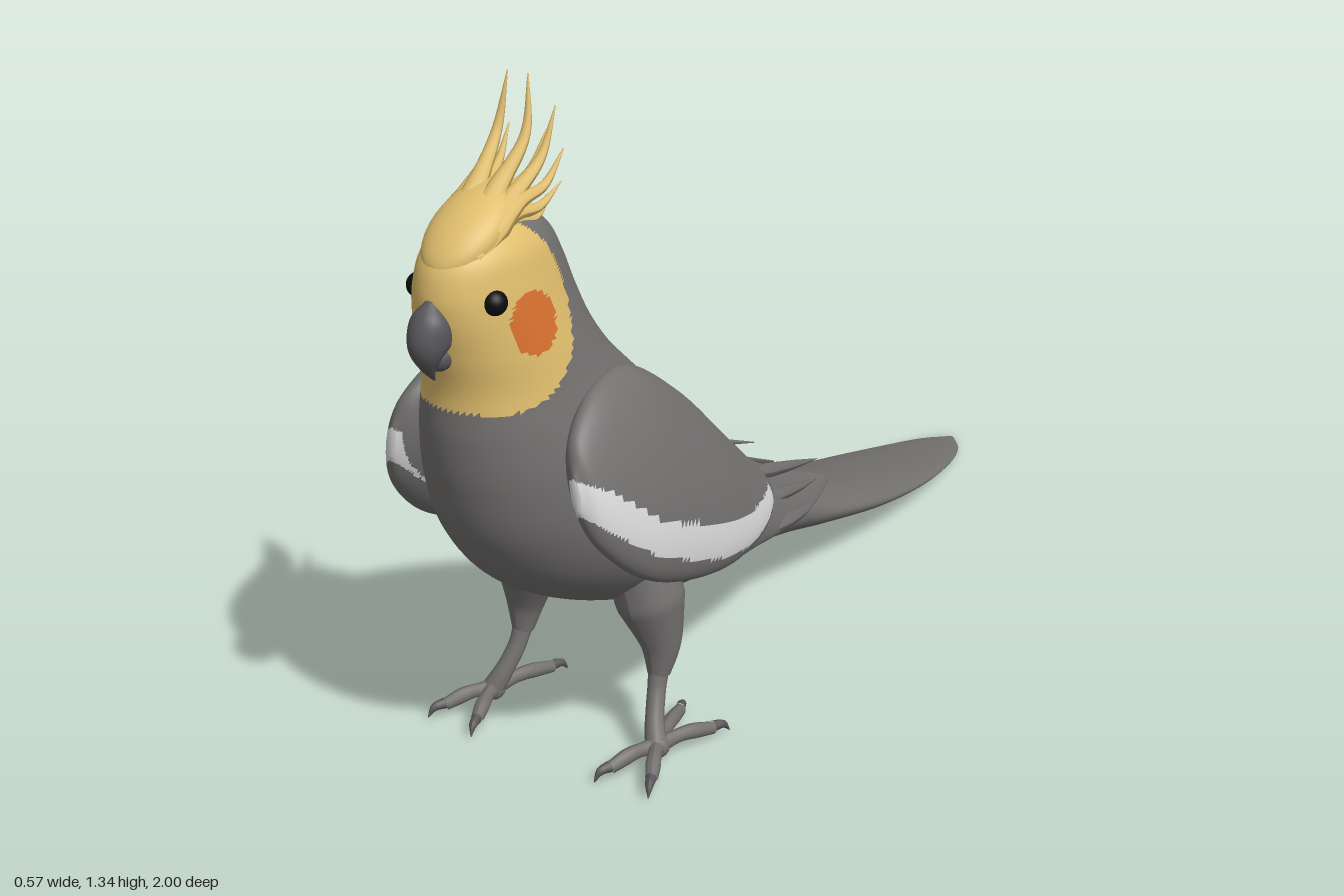
import * as THREE from 'three';

const mat = (name, color, side = THREE.FrontSide) => {
  const m = new THREE.MeshStandardMaterial({ color, side });
  m.name = name;
  return m;
};

const V = (x, y, z) => new THREE.Vector3(x, y, z);

// Smooth closed skin through oval sections. Row: [edge A xyz, edge B xyz, half width].
// sideOf gives the width direction; rule picks a material index per triangle.
function loft(rows, { perRow = 8, radial = 40, sideOf = () => V(1, 0, 0), rule = () => 0 } = {}) {
  const spline = (f) => new THREE.CatmullRomCurve3(rows.map(f), false, 'catmullrom', 0.5);
  const a = spline((r) => V(r[0], r[1], r[2]));
  const b = spline((r) => V(r[3], r[4], r[5]));
  const w = spline((r) => V(r[6], 0, 0));
  const n = (rows.length - 1) * perRow;
  const pts = [];
  for (let i = -1; i <= n + 1; i++) {
    const t = THREE.MathUtils.clamp(i / n, 0, 1);
    const k = i < 0 || i > n ? 0 : 1; // collapsed rings close the ends
    const A = a.getPoint(t), B = b.getPoint(t);
    const half = A.clone().sub(B).multiplyScalar(0.5 * k);
    const side = sideOf(A, B).multiplyScalar(Math.max(w.getPoint(t).x, 0.002) * k);
    const mid = A.add(B).multiplyScalar(0.5);
    for (let j = 0; j < radial; j++) {
      const g = (j / radial) * Math.PI * 2;
      pts.push(mid.clone().addScaledVector(half, Math.cos(g)).addScaledVector(side, Math.sin(g)));
    }
  }
  const tris = [];
  for (let i = 0; i < n + 2; i++) {
    for (let j = 0; j < radial; j++) {
      const p = i * radial + j, q = i * radial + ((j + 1) % radial);
      if (i > 0) tris.push([p, q, p + radial]);
      if (i < n + 1) tris.push([q, q + radial, p + radial]);
    }
  }
  // Turn all faces outward
  let volume = 0;
  for (const [i, j, k] of tris) volume += pts[i].dot(pts[j].clone().cross(pts[k]));
  if (volume < 0) tris.forEach((t) => t.reverse());
  // Sort triangles into one group per colour
  const bins = [];
  for (const t of tris) {
    const c = pts[t[0]].clone().add(pts[t[1]]).add(pts[t[2]]).divideScalar(3);
    (bins[rule(c)] ||= []).push(...t);
  }
  const geo = new THREE.BufferGeometry().setFromPoints(pts);
  geo.setIndex(bins.flat());
  let start = 0;
  bins.forEach((bin, m) => {
    geo.addGroup(start, bin.length, m);
    start += bin.length;
  });
  geo.computeVertexNormals();
  return geo;
}

// Round tube whose radius follows a list of values
function taperTube(points, radii, seg = 20, radial = 10) {
  const curve = new THREE.CatmullRomCurve3(points);
  const geo = new THREE.TubeGeometry(curve, seg, 1, radial);
  const pos = geo.attributes.position, p = V(0, 0, 0);
  for (let i = 0; i <= seg; i++) {
    const c = curve.getPointAt(i / seg);
    const f = (i / seg) * (radii.length - 1), k = Math.min(Math.floor(f), radii.length - 2);
    const r = THREE.MathUtils.lerp(radii[k], radii[k + 1], f - k);
    for (let j = 0; j <= radial; j++) {
      const id = i * (radial + 1) + j;
      p.fromBufferAttribute(pos, id).sub(c).multiplyScalar(r).add(c);
      pos.setXYZ(id, p.x, p.y, p.z);
    }
  }
  geo.computeVertexNormals();
  return geo;
}

// Piecewise linear lookup in [[z, y], ...] with falling z
function lookup(table, z) {
  for (let i = 1; i < table.length; i++) {
    const [z0, y0] = table[i - 1], [z1, y1] = table[i];
    if (z <= z0 && z >= z1) return THREE.MathUtils.mapLinear(z, z0, z1, y0, y1);
  }
  return null;
}

export function createModel() {
  const root = new THREE.Group();
  root.name = 'crestedParrot';
  const grey = mat('grey plumage', 0x737170);
  const yellow = mat('yellow face', 0xdfbd6c);
  const orange = mat('orange cheek', 0xd8712f);
  const white = mat('pale wing patch', 0xdcdcdc);
  const horn = mat('dark beak', 0x58585b);
  const skin = mat('grey feet', 0x73706f);
  const black = mat('black eye', 0x0c0c0c);
  const add = (name, geo, material, parent = root) => {
    const m = new THREE.Mesh(geo, material);
    m.name = name;
    parent.add(m);
    return m;
  };
  // Row in the middle plane: front z, y, back z, y, half width
  const mid = ([zf, yf, zb, yb, w]) => [0, yf, zf, 0, yb, zb, w];

  // Head, body and tail in one skin; face and cheeks are coloured by region
  const bodyRows = [
    [0.81, 1.135, 0.76, 1.13, 0.015], [0.88, 1.11, 0.71, 1.11, 0.06],
    [0.935, 1.07, 0.665, 1.075, 0.09], [0.955, 1.02, 0.635, 1.02, 0.104],
    [0.955, 0.97, 0.612, 0.96, 0.115], [0.94, 0.9, 0.58, 0.89, 0.13],
    [0.925, 0.83, 0.53, 0.82, 0.146], [0.927, 0.74, 0.46, 0.75, 0.17],
    [0.915, 0.64, 0.38, 0.67, 0.195], [0.88, 0.53, 0.3, 0.585, 0.21],
    [0.8, 0.42, 0.23, 0.51, 0.212], [0.68, 0.335, 0.17, 0.44, 0.2],
    [0.52, 0.265, 0.09, 0.385, 0.18], [0.36, 0.235, 0, 0.34, 0.165],
    [0.18, 0.215, -0.07, 0.295, 0.15], [0.02, 0.18, -0.16, 0.25, 0.138],
    [-0.15, 0.135, -0.25, 0.205, 0.136], [-0.38, 0.082, -0.42, 0.148, 0.139],
    [-0.6, 0.045, -0.62, 0.093, 0.126], [-0.8, 0.02, -0.81, 0.046, 0.093],
    [-0.93, 0.007, -0.93, 0.022, 0.055], [-1, 0.003, -1, 0.009, 0.008],
  ].map(mid);
  const faceRule = (c) => {
    if (Math.abs(c.x) > 0.05 && Math.hypot((c.z - 0.82) / 0.049, (c.y - 0.95) / 0.056) < 1) return 2;
    return Math.hypot((c.z - 0.89) / 0.17, (c.y - 0.97) / 0.172) < 1 ? 1 : 0;
  };
  add('body', loft(bodyRows, { perRow: 10, radial: 80, rule: faceRule }), [grey, yellow, orange]);

  // Hooked beak
  const beakRows = [
    [0.958, 1.01, 0.93, 1.0, 0.012], [0.985, 0.985, 0.92, 0.96, 0.035],
    [0.999, 0.95, 0.92, 0.93, 0.036], [0.996, 0.92, 0.945, 0.91, 0.027],
    [0.978, 0.89, 0.955, 0.888, 0.013], [0.955, 0.867, 0.951, 0.867, 0.002],
  ].map(mid);
  add('upperBeak', loft(beakRows, { radial: 24 }), horn);
  const lower = add('lowerBeak', new THREE.SphereGeometry(0.026, 20, 14), horn);
  lower.position.set(0, 0.905, 0.938);

  // Crest: forehead mound and swept feathers
  const mound = add('crestBase', new THREE.SphereGeometry(1, 32, 20), yellow);
  mound.scale.set(0.07, 0.042, 0.11);
  mound.position.set(0, 1.105, 0.845);
  mound.rotation.x = 0.55;
  const crest = [
    // x, y, z of two middle points and the tip
    [0.022, 1.165, 0.79, 0.03, 1.24, 0.722, 0.022, 1.34, 0.697],
    [0.045, 1.15, 0.78, 0.052, 1.2, 0.71, 0.058, 1.283, 0.672],
    [0.055, 1.14, 0.78, 0.062, 1.155, 0.715, 0.07, 1.21, 0.668],
    [0.03, 1.15, 0.78, 0.035, 1.175, 0.72, 0.04, 1.24, 0.675],
    [0.05, 1.12, 0.79, 0.06, 1.12, 0.73, 0.064, 1.15, 0.67],
    [0.048, 1.11, 0.79, 0.052, 1.1, 0.73, 0.05, 1.125, 0.685],
  ];

  // Wing sections: z, upper edge x y, lower edge x y, half thickness
  const covertRows = [
    [0.842, 0.2, 0.69, 0.208, 0.63, 0.008], [0.81, 0.178, 0.755, 0.23, 0.55, 0.034],
    [0.72, 0.155, 0.805, 0.25, 0.46, 0.055], [0.6, 0.138, 0.803, 0.255, 0.4, 0.068],
    [0.45, 0.13, 0.7, 0.252, 0.36, 0.066], [0.31, 0.12, 0.57, 0.235, 0.35, 0.05],
    [0.21, 0.12, 0.475, 0.205, 0.355, 0.032], [0.15, 0.135, 0.42, 0.175, 0.375, 0.008],
  ];
  const flightRows = [
    [0.6, 0.14, 0.7, 0.235, 0.4, 0.03], [0.45, 0.12, 0.66, 0.24, 0.355, 0.05],
    [0.3, 0.11, 0.56, 0.225, 0.328, 0.044], [0.15, 0.095, 0.435, 0.2, 0.293, 0.028],
    [0, 0.08, 0.345, 0.158, 0.253, 0.016], [-0.12, 0.066, 0.285, 0.122, 0.228, 0.01],
    [-0.245, 0.062, 0.226, 0.075, 0.208, 0.003],
  ];
  const patchTop = [[0.85, 0.69], [0.79, 0.655], [0.68, 0.56], [0.52, 0.49], [0.36, 0.44], [0.18, 0.41]];
  const patchLow = [[0.85, 0.63], [0.8, 0.58], [0.7, 0.5], [0.57, 0.435], [0.46, 0.395], [0.36, 0.372], [0.18, 0.375]];
  const patchRule = (c) => {
    const hi = lookup(patchTop, c.z), lo = lookup(patchLow, c.z);
    return hi !== null && c.y < hi && c.y > lo && Math.abs(c.x) > 0.185 ? 1 : 0;
  };

  for (const s of [1, -1]) {
    const label = s > 0 ? 'left' : 'right';
    const P = (x, y, z) => V(s * x, y, z);
    const wing = new THREE.Group();
    wing.name = label + 'Wing';
    root.add(wing);
    const wingRow = ([z, xt, yt, xb, yb, t]) => [s * xt, yt, z, s * xb, yb, z, t];
    const sideOf = (A, B) => V(A.y - B.y, B.x - A.x, 0).normalize();
    add('wingCoverts', loft(covertRows.map(wingRow), { perRow: 12, radial: 72, sideOf, rule: patchRule }), [grey, white], wing);
    add('flightFeathers', loft(flightRows.map(wingRow), { sideOf }), grey, wing);
    // Feather ridges along the folded wing
    for (let i = 0; i < 3; i++) {
      const d = i * 0.03;
      const path = [P(0.212 - d, 0.335 + d * 1.8, 0.25), P(0.168 - d * 0.8, 0.275 + d * 1.5, 0.03), P(0.115 - d * 0.6, 0.228 + d, -0.13 - d)];
      add('featherRidge', taperTube(path, [0.012, 0.016, 0.01, 0.001]), grey, wing);
    }

    // Eye
    const eye = add(label + 'Eye', new THREE.SphereGeometry(0.023, 20, 14), black);
    eye.position.set(s * 0.08, 1.0, 0.885);

    // Crest feathers of this side
    for (const [x1, y1, z1, x2, y2, z2, x3, y3, z3] of crest) {
      const path = [P(x1 * 0.8, 1.07, 0.89), P(x1, y1, z1), P(x2, y2, z2), P(x3, y3, z3)];
      add('crestFeather', taperTube(path, [0.02, 0.024, 0.014, 0.008, 0.001], 24), yellow);
    }

    // Thigh, leg and foot with two toes forward and two back
    add(label + 'Thigh', taperTube([P(0.125, 0.38, 0.55), P(0.145, 0.29, 0.535), P(0.16, 0.21, 0.53), P(0.162, 0.15, 0.54)],
      [0.06, 0.068, 0.045, 0.022], 20, 20), grey);
    add(label + 'Leg', taperTube([P(0.16, 0.18, 0.533), P(0.166, 0.12, 0.555), P(0.18, 0.07, 0.583), P(0.195, 0.035, 0.6)],
      [0.022, 0.018, 0.018, 0.022], 16, 14), skin);
    const pad = add(label + 'FootPad', new THREE.SphereGeometry(0.024, 16, 12), skin);
    pad.position.set(s * 0.196, 0.032, 0.598);
    for (const [x, z] of [[0.245, 0.69], [0.158, 0.7], [0.245, 0.48], [0.155, 0.46]]) {
      const mx = (x + 0.196) / 2, mz = (z + 0.6) / 2;
      const dx = (x - 0.196) * 0.32, dz = Math.sign(z - 0.6) * 0.034;
      add('toe', taperTube([P(0.196, 0.033, 0.6), P(mx, 0.037, mz), P(x, 0.025, z)], [0.018, 0.013, 0.015, 0.012], 14), skin);
      add('claw', taperTube([P(x, 0.028, z), P(x + dx * 0.6, 0.026, z + dz * 0.6), P(x + dx, 0.008, z + dz)], [0.011, 0.008, 0.001], 8, 8), horn);
    }
  }
  return root;
}
